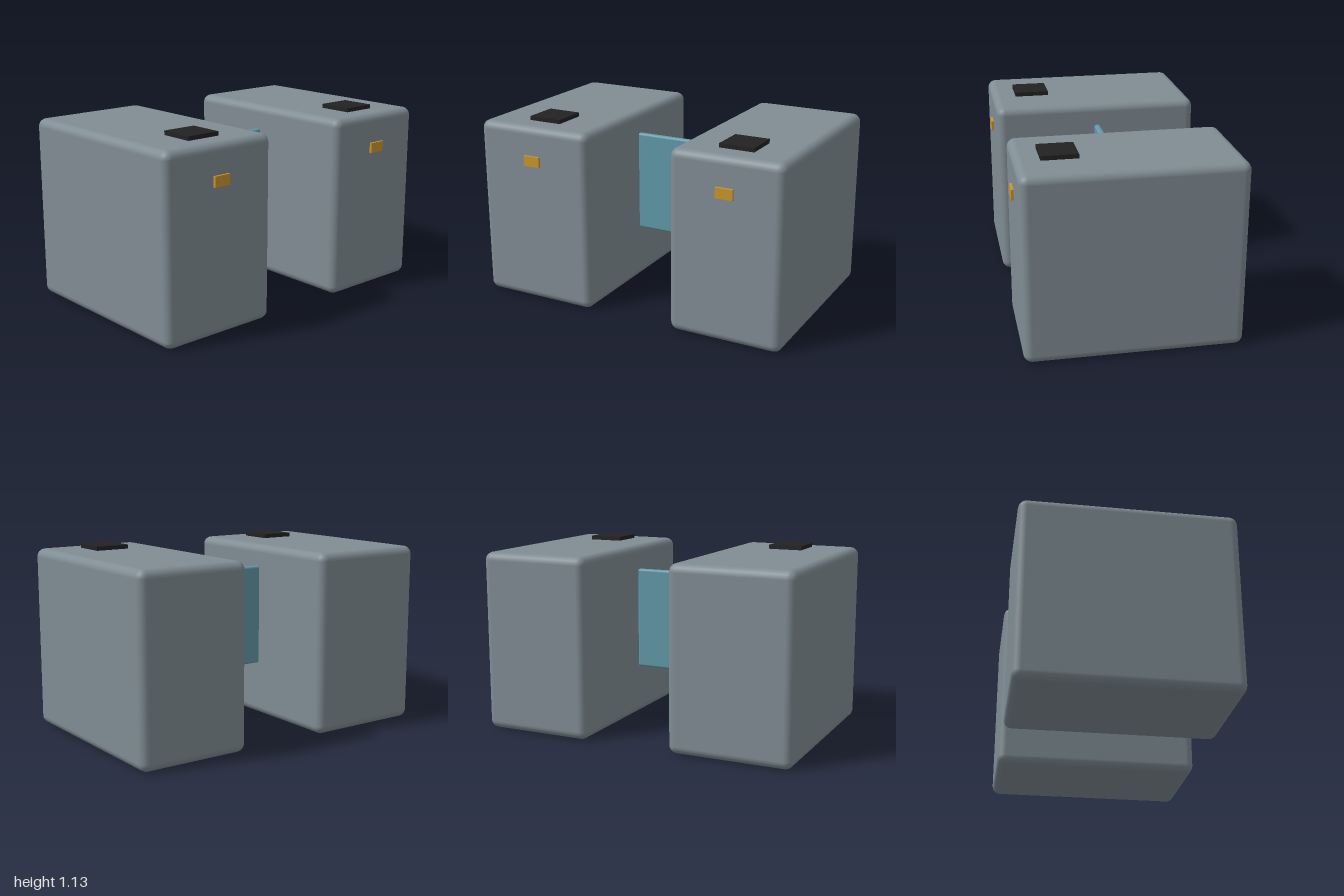
import * as THREE from 'three';
import { RoundedBoxGeometry } from 'three/addons/geometries/RoundedBoxGeometry.js';

const material = (name, color) => {
  const m = new THREE.MeshStandardMaterial({ color });
  m.name = name;
  return m;
};

export function createModel() {
  const group = new THREE.Group();
  const grey = material('cabinet grey', 0x808d94);
  const glass = material('gate blue', 0x6299a9);
  const black = material('reader black', 0x222222);
  const amber = material('indicator amber', 0xcb962b);

  // Box given by its lower and upper corners, with an optional edge radius
  const box = (name, mat, min, max, radius = 0, parent = group) => {
    const size = max.map((v, i) => v - min[i]);
    const geometry = radius
      ? new RoundedBoxGeometry(...size, 3, radius)
      : new THREE.BoxGeometry(...size);
    const mesh = new THREE.Mesh(geometry, mat);
    mesh.name = name;
    mesh.position.set(...max.map((v, i) => (v + min[i]) / 2));
    parent.add(mesh);
  };

  // Two cabinets, each with a reader pad on top and an indicator in front
  const cabinets = [
    { name: 'rightCabinet', x0: -1, x1: -0.242 },
    { name: 'leftCabinet', x0: 0.3, x1: 1 },
  ];
  for (const { name, x0, x1 } of cabinets) {
    const cabinet = new THREE.Group();
    cabinet.name = name;
    const x = (x0 + x1) / 2;
    box('cabinetBody', grey, [x0, 0, -0.64], [x1, 1.11, 0.625], 0.05, cabinet);
    box('readerPad', black, [x - 0.106, 1.1, 0.268], [x + 0.106, 1.135, 0.48], 0, cabinet);
    box('indicator', amber, [x - 0.053, 0.87, 0.61], [x + 0.053, 0.933, 0.64], 0, cabinet);
    group.add(cabinet);
  }

  // Sliding gate panel coming out of the wider cabinet
  box('gatePanel', glass, [-0.28, 0.343, -0.03], [0.256, 0.975, 0.008], 0.015);

  return group;
}
